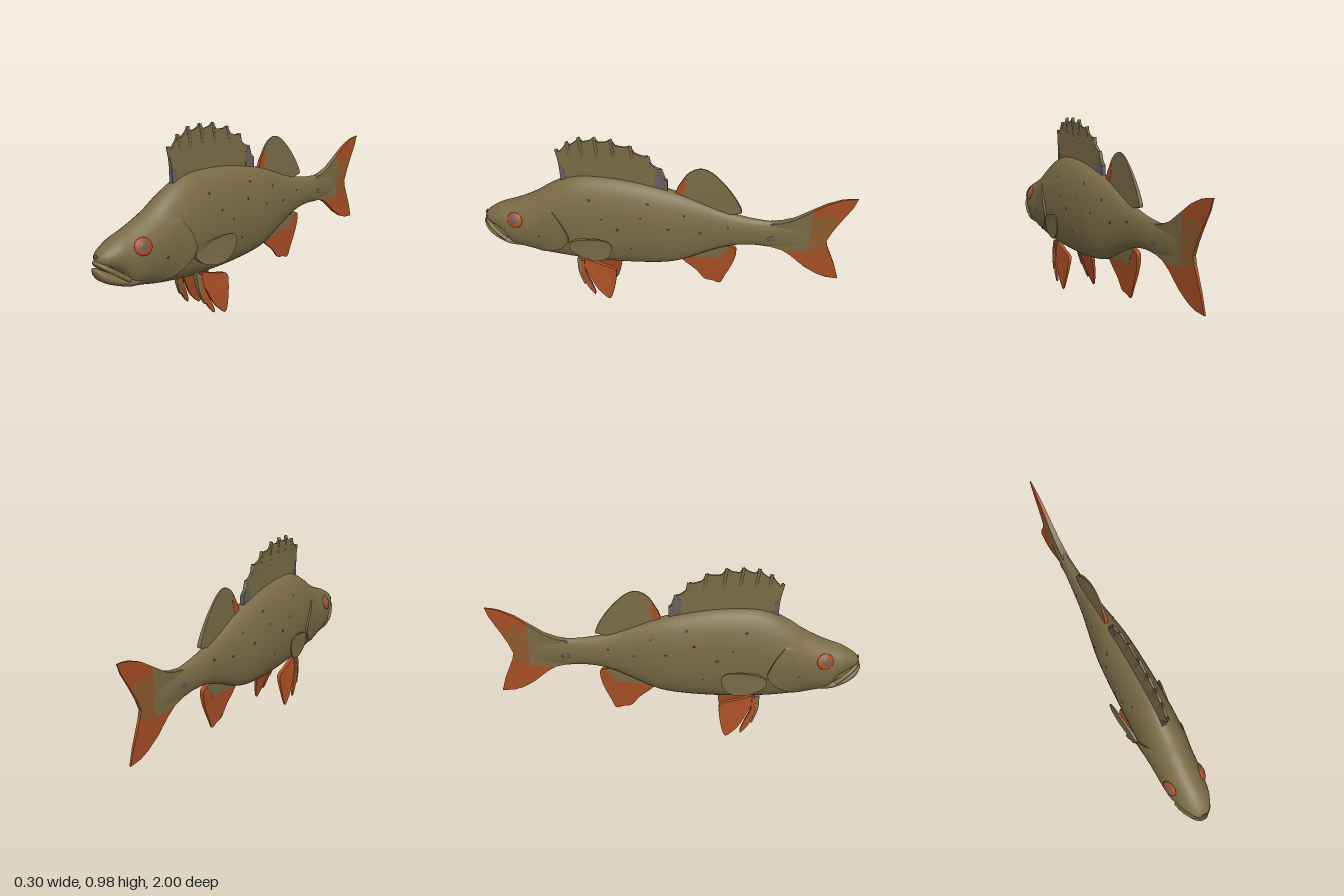
import * as THREE from 'three';
import { toCreasedNormals } from 'three/addons/utils/BufferGeometryUtils.js';

const mat = (name, color) => new THREE.MeshStandardMaterial({ name, color });

export function createModel() {
  const olive = mat('olive', 0x7a6b46), orange = mat('orange', 0xa84e24), brown = mat('brown', 0x8f5a2c);
  const grey = mat('grey', 0x66605c), dark = mat('dark', 0x443c2e);
  const fish = new THREE.Group();
  const add = (name, geo, material, parent = fish) => {
    const mesh = new THREE.Mesh(geo, material);
    mesh.name = name;
    parent.add(mesh);
    return mesh;
  };

  // Stations from nose to tail: z, top, bottom, half width
  const BODY = [
    [0.985, 0.468, 0.445, 0.015], [0.97, 0.488, 0.432, 0.04], [0.94, 0.51, 0.415, 0.06], [0.9, 0.533, 0.39, 0.079],
    [0.87, 0.547, 0.36, 0.088], [0.83, 0.562, 0.303, 0.098], [0.76, 0.592, 0.283, 0.106], [0.68, 0.635, 0.265, 0.109],
    [0.6, 0.69, 0.252, 0.112], [0.5, 0.742, 0.24, 0.113], [0.4, 0.763, 0.234, 0.112], [0.2, 0.757, 0.234, 0.107],
    [0, 0.722, 0.25, 0.097], [-0.1, 0.695, 0.272, 0.084], [-0.2, 0.658, 0.318, 0.067], [-0.3, 0.62, 0.368, 0.052],
    [-0.4, 0.592, 0.403, 0.043], [-0.5, 0.575, 0.415, 0.035], [-0.6, 0.568, 0.41, 0.028], [-0.7, 0.56, 0.42, 0.02],
    [-0.78, 0.55, 0.43, 0.011],
  ];
  const JAW = [
    [1, 0.425, 0.402, 0.014], [0.985, 0.422, 0.37, 0.034], [0.95, 0.402, 0.342, 0.056], [0.9, 0.375, 0.32, 0.071],
    [0.84, 0.36, 0.301, 0.08], [0.74, 0.36, 0.288, 0.07],
  ];

  // Smooth interpolation of a station table at a given z
  function station(table, z) {
    const last = table.length - 1;
    let i = 0;
    while (i < last - 1 && z < table[i + 1][0]) i++;
    const a = table[i], b = table[i + 1], p = table[Math.max(i - 1, 0)], q = table[Math.min(i + 2, last)];
    const d = b[0] - a[0], t = THREE.MathUtils.clamp((z - a[0]) / d, 0, 1), t2 = t * t, t3 = t2 * t;
    return [1, 2, 3].map(k => {
      const ma = (b[k] - p[k]) / (b[0] - p[0]) * d, mb = (q[k] - a[k]) / (q[0] - a[0]) * d;
      return (2 * t3 - 3 * t2 + 1) * a[k] + (t3 - 2 * t2 + t) * ma + (3 * t2 - 2 * t3) * b[k] + (t3 - t2) * mb;
    });
  }

  // Closed skin over the stations: elliptical back, squarer belly
  function loft(table, rows, n = 44) {
    const pos = [], idx = [], z0 = table[0][0], z1 = table.at(-1)[0];
    for (let r = 0; r <= rows + 2; r++) {
      const t = THREE.MathUtils.clamp((r - 1) / rows, 0, 1), z = z0 + (z1 - z0) * t;
      const [top, bot, w] = station(table, z), c = bot + (top - bot) * 0.48;
      const k = r === 0 || r === rows + 2 ? 0 : 1;
      for (let j = 0; j < n; j++) {
        const a = j / n * Math.PI * 2, cs = Math.cos(a), sn = Math.sin(a);
        const x = cs >= 0 ? sn : Math.sign(sn) * Math.abs(sn) ** 0.72;
        pos.push(k * w * x, c + k * cs * (cs >= 0 ? top - c : c - bot), z);
      }
    }
    for (let r = 0; r < rows + 2; r++) for (let j = 0; j < n; j++) {
      const a = r * n + j, b = r * n + (j + 1) % n;
      idx.push(a, b, a + n, b, b + n, a + n);
    }
    const g = new THREE.BufferGeometry();
    g.setAttribute('position', new THREE.Float32BufferAttribute(pos, 3));
    g.setIndex(idx);
    g.computeVertexNormals();
    return g;
  }
  add('body', loft(BODY, 130), olive);
  add('lowerJaw', loft(JAW, 24), olive);

  // Half width of the body at a point on its flank
  function flank(z, y) {
    const [top, bot, w] = station(BODY, z), c = bot + (top - bot) * 0.48;
    const u = Math.min(1, y >= c ? (y - c) / (top - c) : (c - y) / (c - bot));
    return w * (1 - u * u) ** (y >= c ? 0.5 : 0.36);
  }
  // Flattened dome lying on the flank
  function dome(name, s, z, y, rz, ry, thick, lift, material) {
    const e = 0.01;
    const n = new THREE.Vector3(s, (flank(z, y - e) - flank(z, y + e)) / (2 * e), (flank(z - e, y) - flank(z + e, y)) / (2 * e)).normalize();
    const m = add(name, new THREE.SphereGeometry(1, 20, 12), material);
    m.scale.set(rz, ry, thick);
    m.position.set(s * flank(z, y), y, z).addScaledVector(n, lift);
    m.quaternion.setFromUnitVectors(new THREE.Vector3(0, 0, 1), n);
  }

  // Fin from a z,y outline; mid and half give its centre plane and half thickness
  function fin(name, pts, material, half, mid = () => 0, smooth = true) {
    let v = pts.map(p => new THREE.Vector2(...p));
    if (smooth) v = new THREE.SplineCurve(v).getPoints(pts.length * 5);
    const g = new THREE.ExtrudeGeometry(new THREE.Shape(v), { depth: 1, bevelEnabled: false });
    const p = g.attributes.position;
    for (let i = 0; i < p.count; i++) {
      const z = p.getX(i), y = p.getY(i), d = p.getZ(i) * 2 - 1;
      p.setXYZ(i, mid(z, y) - d * half(z, y), y, z);
    }
    return add(name, toCreasedNormals(g, 0.6), material);
  }
  const ramp = (v, a, b, fa, fb) => THREE.MathUtils.mapLinear(THREE.MathUtils.clamp(v, Math.min(a, b), Math.max(a, b)), a, b, fa, fb);

  // Tail fin in four coloured pieces
  const tailHalf = z => ramp(z, -0.6, -1, 0.019, 0.003);
  fin('tailRoot', [[-0.58, 0.56], [-0.64, 0.573], [-0.7, 0.597], [-0.79, 0.66], [-0.79, 0.4], [-0.65, 0.402], [-0.58, 0.42]], olive, tailHalf, undefined, false);
  fin('tailMiddle', [[-0.79, 0.4], [-0.79, 0.61], [-0.87, 0.65], [-0.93, 0.6], [-0.9, 0.54], [-0.877, 0.48], [-0.887, 0.44]], brown, tailHalf, undefined, false);
  fin('tailUpperLobe', [[-0.79, 0.66], [-0.85, 0.702], [-0.92, 0.735], [-0.96, 0.745], [-1, 0.75], [-0.985, 0.7], [-0.93, 0.6], [-0.87, 0.65], [-0.79, 0.61]], orange, tailHalf, undefined, false);
  fin('tailLowerLobe', [[-0.65, 0.402], [-0.79, 0.4], [-0.887, 0.44], [-0.905, 0.4], [-0.94, 0.32], [-0.967, 0.235], [-0.9, 0.24], [-0.85, 0.258], [-0.78, 0.3], [-0.7, 0.37]], orange, tailHalf, undefined, false);

  // Spiny front dorsal fin with a scalloped edge
  const tips = [[0.55, 0.905], [0.49, 0.955], [0.425, 0.985], [0.345, 0.99], [0.26, 0.985], [0.16, 0.955], [0.07, 0.905], [0.005, 0.835]];
  const edge = [[0.515, 0.7], [0.535, 0.76]];
  tips.forEach(([z, y], i) => {
    edge.push([z, y]);
    const nx = tips[i + 1];
    if (nx) for (const t of [0.25, 0.5, 0.75]) edge.push([z + (nx[0] - z) * t, y + (nx[1] - y) * t - 0.028 + 0.02 * t * t]);
  });
  const spineHalf = (z, y) => ramp(y, 0.72, 0.99, 0.011, 0.005);
  fin('frontDorsalFin', [...edge, [0.0, 0.7]], olive, spineHalf, undefined, false);
  fin('frontDorsalRearPatch', [[0.03, 0.7], [0.03, 0.8], [0.005, 0.835], [-0.012, 0.785], [-0.035, 0.765], [-0.035, 0.69]], grey, (z, y) => spineHalf(z, y) + 0.001, undefined, false);
  fin('frontDorsalFrontPatch', [[0.505, 0.72], [0.515, 0.79], [0.54, 0.83], [0.535, 0.72]], grey, (z, y) => spineHalf(z, y) + 0.001, undefined, false);
  for (const [z, y] of tips) {
    const path = new THREE.CatmullRomCurve3([[z - 0.03, 0.71], [z - 0.018, (0.72 + y) / 2], [z, y]].map(p => new THREE.Vector3(0, p[1], p[0])));
    add('dorsalSpine', new THREE.TubeGeometry(path, 10, 0.0095, 8), olive);
  }

  // Soft rear dorsal fin
  const softHalf = (z, y) => ramp(y, 0.62, 0.86, 0.011, 0.003);
  fin('rearDorsalFin', [[-0.07, 0.67], [-0.095, 0.745], [-0.14, 0.82], [-0.2, 0.853], [-0.26, 0.835], [-0.33, 0.77], [-0.39, 0.69], [-0.425, 0.62], [-0.41, 0.605], [-0.36, 0.595]], olive, softHalf);
  fin('rearDorsalPatch', [[-0.07, 0.68], [-0.09, 0.74], [-0.126, 0.797], [-0.135, 0.76], [-0.115, 0.68]], orange, (z, y) => softHalf(z, y) + 0.001, undefined, false);

  // Anal fin with an olive root
  const analHalf = (z, y) => ramp(y, 0.4, 0.12, 0.013, 0.003);
  fin('analFin', [[-0.09, 0.3], [-0.14, 0.25], [-0.2, 0.2], [-0.245, 0.145], [-0.29, 0.135], [-0.335, 0.125], [-0.36, 0.18], [-0.4, 0.28], [-0.413, 0.35], [-0.4, 0.38], [-0.33, 0.4]], orange, analHalf);
  fin('analFinRoot', [[-0.13, 0.287], [-0.22, 0.288], [-0.25, 0.305], [-0.33, 0.295], [-0.34, 0.335], [-0.385, 0.385], [-0.3, 0.4], [-0.15, 0.31]], olive, (z, y) => analHalf(z, y) + 0.001, undefined, false);

  // Gill cover: a plate hugging the flank with a raised rear edge
  function gill(s) {
    const rim = new THREE.SplineCurve([[0.7, 0.275], [0.61, 0.3], [0.53, 0.35], [0.49, 0.41], [0.505, 0.47], [0.535, 0.53], [0.58, 0.585]].map(p => new THREE.Vector2(...p)));
    const pos = [], idx = [], R = 28, C = 14;
    for (let r = 0; r <= R; r++) {
      const e = rim.getPoint(r / R), bulge = Math.sin(Math.PI * r / R) ** 0.5;
      for (let c = 0; c <= C; c++) {
        const t = Math.min(1, c / (C - 1)), z = 0.74 + (e.x - 0.74) * t;
        const lift = c === C ? -0.008 : -0.002 + 0.015 * t * t * bulge;
        pos.push(s * (flank(z, e.y) + lift), e.y, z);
        if (r < R && c < C) {
          const a = r * (C + 1) + c, u = a + C + 1;
          idx.push(...(s > 0 ? [a, a + 1, u, a + 1, u + 1, u] : [a, u, a + 1, a + 1, u, u + 1]));
        }
      }
    }
    const g = new THREE.BufferGeometry();
    g.setAttribute('position', new THREE.Float32BufferAttribute(pos, 3));
    g.setIndex(idx);
    return toCreasedNormals(g, 0.8);
  }

  // Scattered flecks: z, y, size
  const flecks = [[0.37, 0.66, 0.007], [0.3, 0.56, 0.006], [0.22, 0.5, 0.009], [0.1, 0.58, 0.006], [0.06, 0.66, 0.008], [-0.05, 0.52, 0.007],
    [-0.13, 0.6, 0.006], [-0.22, 0.5, 0.008], [0.62, 0.5, 0.006], [0.66, 0.41, 0.007], [0.15, 0.38, 0.006], [-0.36, 0.53, 0.007]];

  for (const s of [1, -1]) {
    const side = s > 0 ? 'left' : 'right';
    add(side + 'GillCover', gill(s), olive);

    // Eye
    dome(side + 'Iris', s, 0.79, 0.495, 0.045, 0.043, 0.014, 0, orange);
    dome(side + 'Pupil', s, 0.79, 0.497, 0.024, 0.024, 0.009, 0.008, grey);

    // Pectoral fin, sweeping out from the flank
    fin(side + 'PectoralFin', [[0.49, 0.39], [0.44, 0.42], [0.37, 0.438], [0.3, 0.447], [0.255, 0.435], [0.243, 0.395], [0.265, 0.345], [0.31, 0.31], [0.38, 0.303], [0.45, 0.325], [0.49, 0.36]],
      olive, z => ramp(z, 0.49, 0.24, 0.009, 0.003), z => s * (0.108 + 0.04 * ramp(z, 0.49, 0.24, 0, 1) ** 0.85));

    // Pelvic fin: broad blade, narrow front lobe and leading spine
    const pelvicHalf = (z, y) => ramp(y, 0.24, 0.01, 0.011, 0.003);
    const splay = (z, y) => s * (0.098 - 0.036 * ramp(y, 0.01, 0.26, 0, 1) ** 1.2);
    fin(side + 'PelvicBlade', [[0.42, 0.26], [0.33, 0.23], [0.25, 0.207], [0.242, 0.15], [0.26, 0.05], [0.28, 0.008], [0.31, 0.025], [0.355, 0.075], [0.4, 0.16], [0.43, 0.22]], orange, pelvicHalf, splay);
    fin(side + 'PelvicLobe', [[0.445, 0.25], [0.44, 0.17], [0.41, 0.09], [0.37, 0.035], [0.36, 0.045], [0.38, 0.1], [0.415, 0.18], [0.42, 0.25]], orange, pelvicHalf, (z, y) => splay(z, y) + s * 0.005);
    fin(side + 'PelvicSpine', [[0.46, 0.26], [0.455, 0.18], [0.425, 0.1], [0.42, 0.11], [0.44, 0.18], [0.435, 0.26]], olive, (z, y) => pelvicHalf(z, y) + 0.002, (z, y) => splay(z, y) + s * 0.005);

    for (const [z, y, r] of flecks) dome(side + 'Fleck', s, z, y, r, r * 0.8, 0.002, 0, dark);
    dome(side + 'TailSpot', s, -0.59, 0.478, 0.022, 0.015, 0.003, 0.001, grey);
  }

  // Upper lip arching over the lower jaw
  const lip = new THREE.CatmullRomCurve3([[-0.078, 0.35, 0.86], [-0.066, 0.39, 0.915], [-0.042, 0.425, 0.96], [0, 0.443, 0.982], [0.042, 0.425, 0.96], [0.066, 0.39, 0.915], [0.078, 0.35, 0.86]].map(p => new THREE.Vector3(...p)));
  add('upperLip', new THREE.TubeGeometry(lip, 40, 0.012, 10), olive);
  const snout = add('snoutSpot', new THREE.SphereGeometry(1, 16, 10), grey);
  snout.scale.set(0.015, 0.008, 0.005);
  snout.position.set(0, 0.474, 0.983);
  return fish;
}
